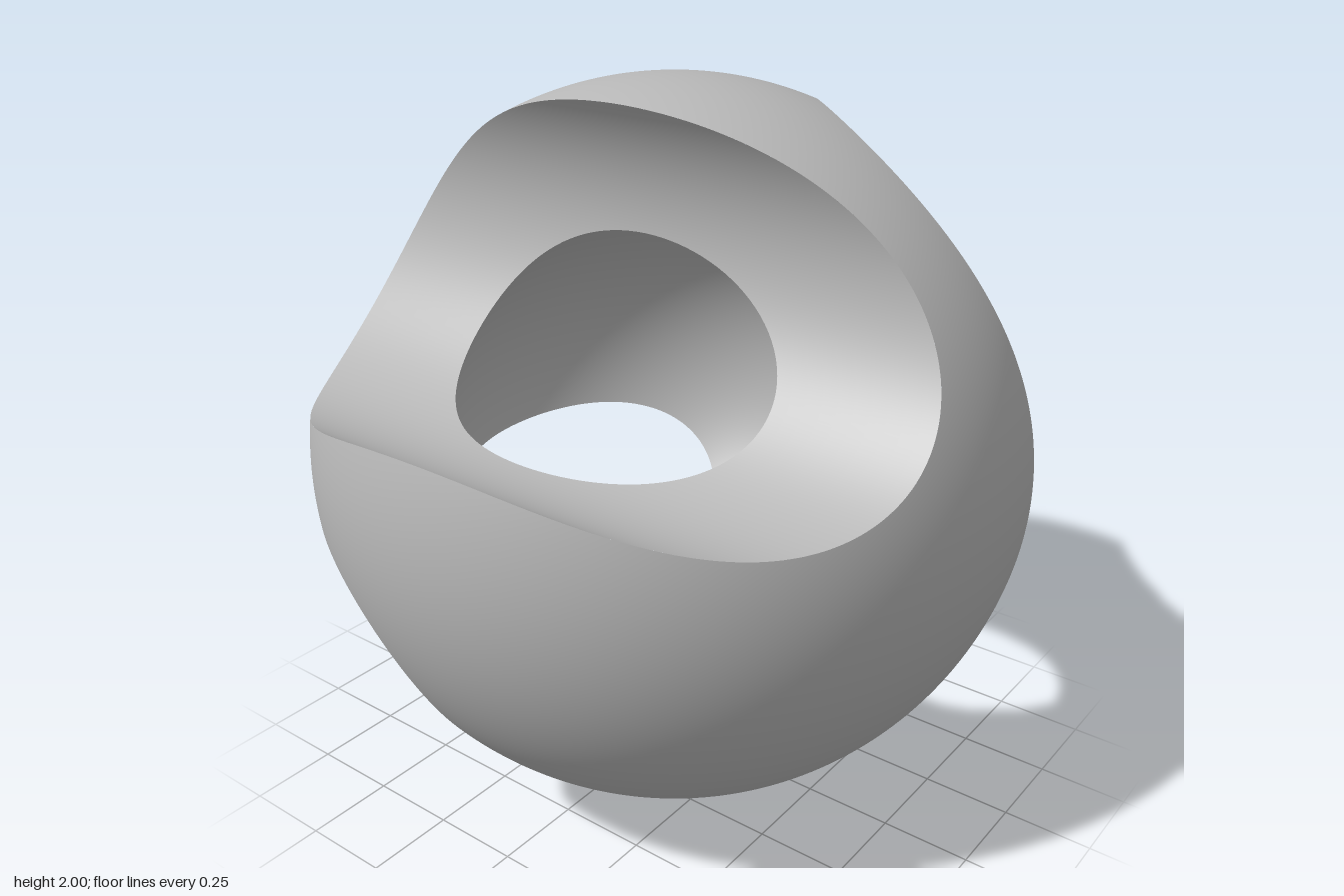
import * as THREE from 'three';

const OUTER = 1, INNER = 0.625, OFFSET = 0.625, BORE = 0.5;

// Three bores, one along each axis: w is the axis index, (p, q) its cross-section plane
const bores = [
  { name: 'boreAlongZ', p: 0, q: 1, w: 2, cp: -OFFSET, cq: OFFSET },
  { name: 'boreAlongX', p: 1, q: 2, w: 0, cp: -OFFSET, cq: -OFFSET },
  { name: 'boreAlongY', p: 2, q: 0, w: 1, cp: OFFSET, cq: OFFSET },
];

// Positive outside the bore, negative inside it
function outside(b, v) {
  return Math.hypot(v.getComponent(b.p) - b.cp, v.getComponent(b.q) - b.cq) - BORE;
}

function toGeometry(positions, normals, index) {
  const g = new THREE.BufferGeometry();
  g.setAttribute('position', new THREE.Float32BufferAttribute(positions, 3));
  g.setAttribute('normal', new THREE.Float32BufferAttribute(normals, 3));
  if (index) g.setIndex(index);
  return g;
}

// Point on the sphere between a and b that lies exactly on the bore's edge
function crossing(b, a, c, radius) {
  let inP = a, outP = c;
  if (outside(b, a) > 0) [inP, outP] = [c, a];
  let lo = 0, hi = 1;
  const m = new THREE.Vector3();
  for (let i = 0; i < 24; i++) {
    const t = (lo + hi) / 2;
    m.lerpVectors(inP, outP, t).setLength(radius);
    if (outside(b, m) > 0) hi = t; else lo = t;
  }
  return m;
}

// Sphere with the three bores trimmed away; facing = -1 makes it face inwards
function trimmedSphere(radius, detail, facing) {
  const src = new THREE.IcosahedronGeometry(radius, detail).getAttribute('position');
  const positions = [], normals = [];
  for (let i = 0; i < src.count; i += 3) {
    let poly = [0, 1, 2].map((k) => new THREE.Vector3().fromBufferAttribute(src, i + k));
    for (const b of bores) {
      const next = [];
      poly.forEach((v, k) => {
        const n = poly[(k + 1) % poly.length];
        const keepV = outside(b, v) >= 0, keepN = outside(b, n) >= 0;
        if (keepV) next.push(v);
        if (keepV !== keepN) next.push(crossing(b, v, n, radius));
      });
      poly = next;
    }
    for (let k = 1; k + 1 < poly.length; k++) {
      const tri = [poly[0], poly[k], poly[k + 1]];
      if (facing < 0) tri.reverse();
      for (const v of tri) {
        positions.push(v.x, v.y, v.z);
        normals.push(facing * v.x / radius, facing * v.y / radius, facing * v.z / radius);
      }
    }
  }
  return toGeometry(positions, normals);
}

// Wall of one bore, spanning from the cavity to the outer sphere
function boreWall(b) {
  const D = Math.hypot(b.cp, b.cq), phi = Math.atan2(b.cq, b.cp);
  const meet = (r) => Math.acos((r * r - D * D - BORE * BORE) / (2 * D * BORE));
  const tO = meet(OUTER), tI = meet(INNER);
  const spans = [[tO, tI], [tI, 2 * Math.PI - tI], [2 * Math.PI - tI, 2 * Math.PI - tO]];
  const positions = [], normals = [], index = [];
  const NU = 56, NV = 10;
  for (const [t0, t1] of spans) {
    for (const sign of [-1, 1]) {
      const base = positions.length / 3;
      for (let i = 0; i <= NU; i++) {
        // Points are packed towards the ends, where the edges curve fastest
        const t = t0 + (t1 - t0) * (1 - Math.cos(Math.PI * i / NU)) / 2;
        const c = Math.cos(t + phi), s = Math.sin(t + phi);
        const p = b.cp + BORE * c, q = b.cq + BORE * s, d2 = p * p + q * q;
        const high = Math.sqrt(Math.max(0, OUTER * OUTER - d2));
        const low = Math.sqrt(Math.max(0, INNER * INNER - d2));
        for (let j = 0; j <= NV; j++) {
          const f = sign > 0 ? j / NV : 1 - j / NV;
          const pos = [0, 0, 0], nor = [0, 0, 0];
          pos[b.p] = p; pos[b.q] = q; pos[b.w] = sign * (low + (high - low) * f);
          nor[b.p] = -c; nor[b.q] = -s;
          positions.push(...pos);
          normals.push(...nor);
        }
      }
      for (let i = 0; i < NU; i++) {
        for (let j = 0; j < NV; j++) {
          const a = base + i * (NV + 1) + j, n = a + NV + 1;
          index.push(a, a + 1, n, n, a + 1, n + 1);
        }
      }
    }
  }
  return toGeometry(positions, normals, index);
}

export function createModel() {
  const grey = new THREE.MeshStandardMaterial({ color: 0xb8b8b8 });
  grey.name = 'plain grey';
  const model = new THREE.Group();
  model.name = 'boredHollowSphere';

  const add = (name, geometry) => {
    const mesh = new THREE.Mesh(geometry, grey);
    mesh.name = name;
    mesh.position.y = OUTER;
    model.add(mesh);
  };

  add('outerShell', trimmedSphere(OUTER, 44, 1));
  add('innerCavity', trimmedSphere(INNER, 32, -1));
  for (const b of bores) add(b.name, boreWall(b));
  return model;
}
